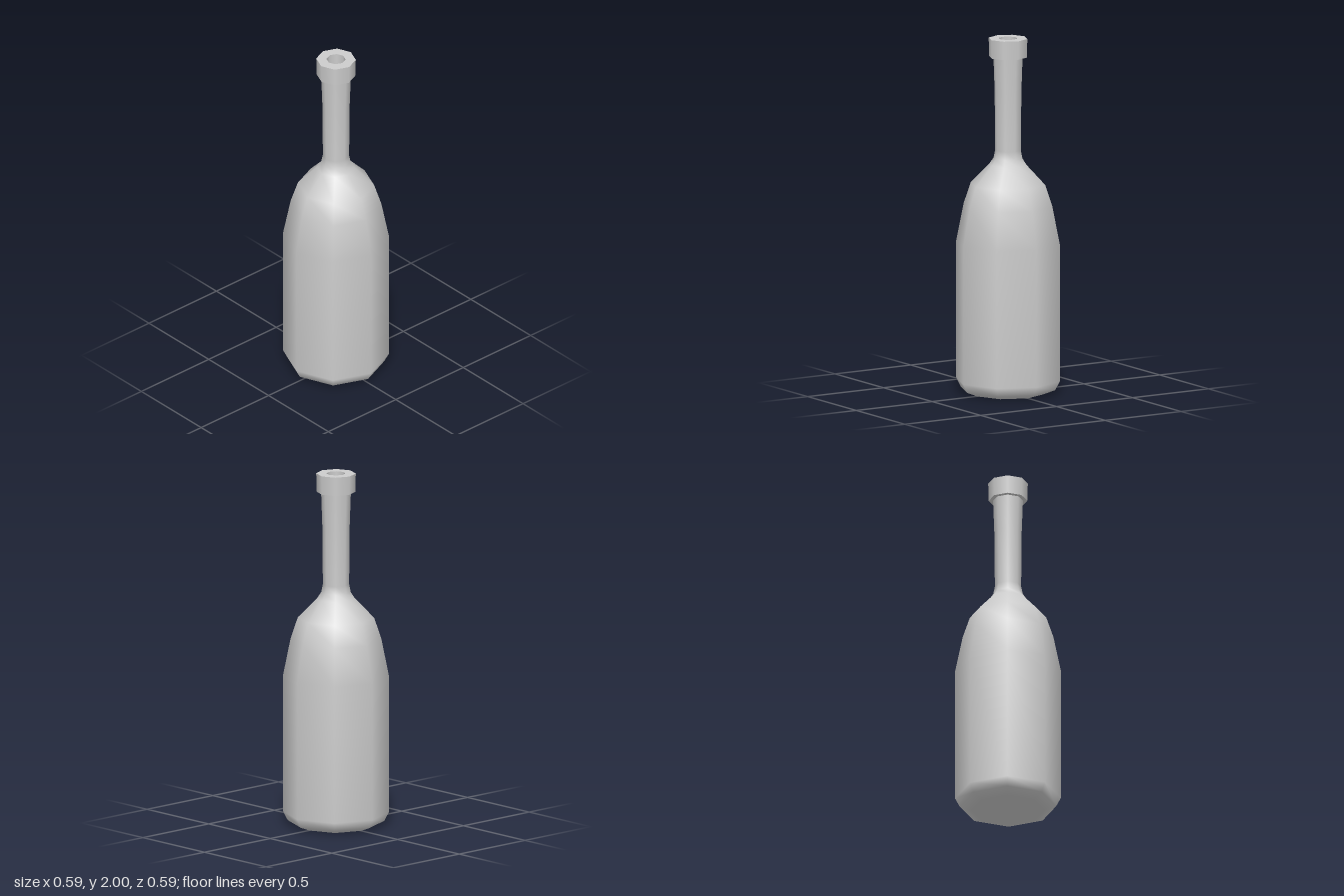
import * as THREE from 'three';

const SIDES = 8;
const material = new THREE.MeshStandardMaterial({ color: 0xcccccc });

// Revolve a profile of [radius, height] points, listed bottom to top on outer walls
function turned(name, profile) {
  const points = profile.map(([r, y]) => new THREE.Vector2(r, y));
  const mesh = new THREE.Mesh(new THREE.LatheGeometry(points, SIDES), material);
  mesh.name = name;
  return mesh;
}

export function createModel() {
  const bottle = new THREE.Group();
  bottle.name = 'bottle';

  // Base, body, shoulder and neck in one smooth skin
  bottle.add(turned('bodyAndNeck', [
    [0, 0.005], [0.205, 0], [0.268, 0.025], [0.294, 0.075],
    [0.294, 0.85], [0.252, 1.06], [0.212, 1.18],
    [0.105, 1.29], [0.082, 1.325], [0.073, 1.37], [0.076, 1.7], [0.083, 1.9],
  ]));

  // Lip collar with a bore: each pair of neighbouring points is its own band, so rims stay sharp
  const collar = new THREE.Group();
  collar.name = 'lipCollar';
  const rim = [[0.075, 1.895], [0.107, 1.895], [0.11, 2], [0.053, 2], [0.053, 1.9], [0, 1.9]];
  const names = ['collarUnderside', 'collarWall', 'collarTop', 'boreWall', 'boreFloor'];
  names.forEach((name, i) => collar.add(turned(name, [rim[i], rim[i + 1]])));
  bottle.add(collar);

  return bottle;
}
